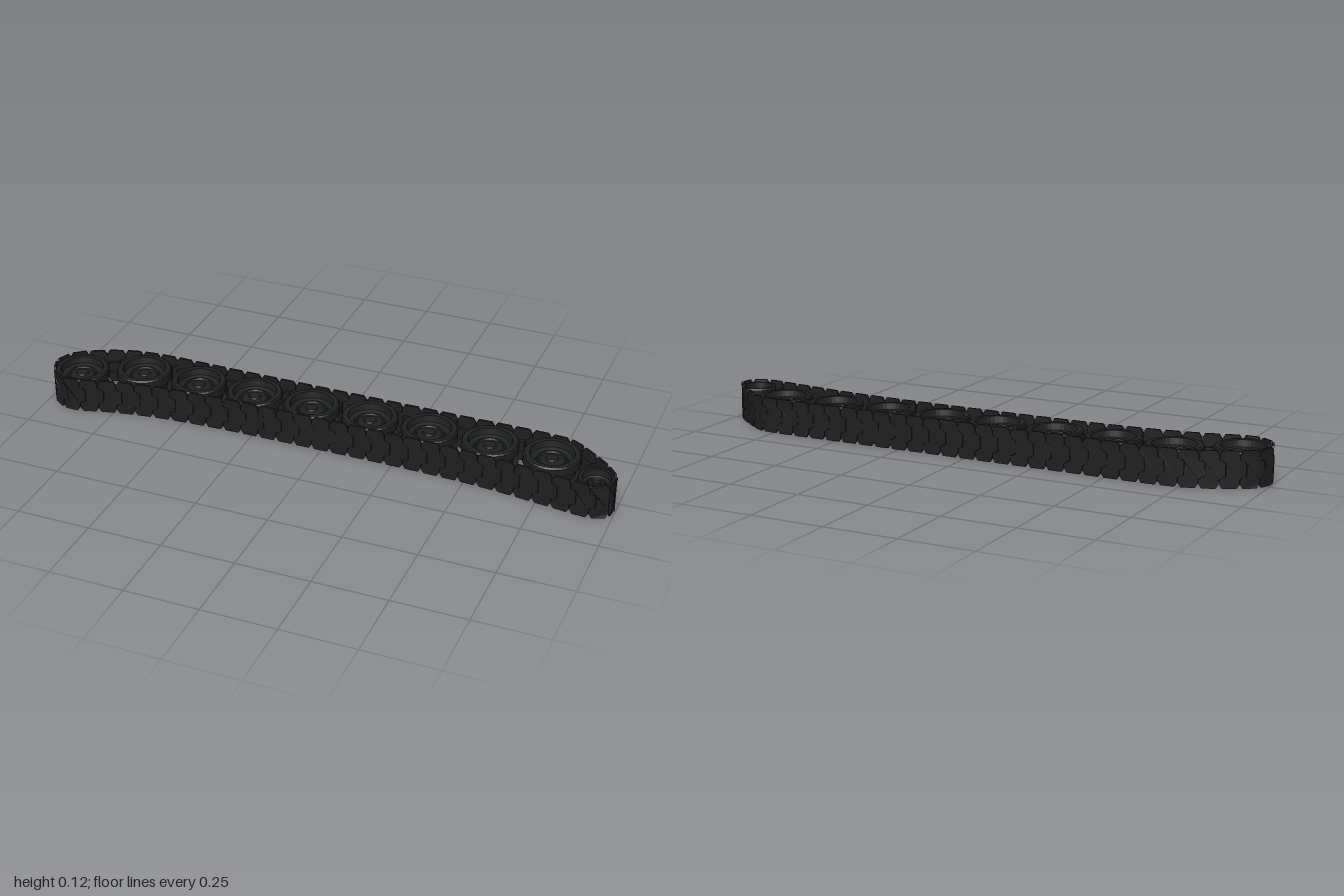
import * as THREE from 'three';

const HEIGHT = 0.122;
const MID = HEIGHT / 2;
const LINKS = 66;

// Outline of the belt seen from above, as [x, z]
const PATH = [
  [-0.998, 0.035], [-0.968, 0.105], [-0.9, 0.136], [-0.83, 0.122], [-0.74, 0.099], [-0.6, 0.077],
  [-0.4, 0.063], [0, 0.059], [0.4, 0.063], [0.6, 0.075], [0.8, 0.099], [0.93, 0.112],
  [0.98, 0.094], [0.999, 0.046], [0.968, -0.008], [0.88, -0.083], [0.81, -0.129], [0.74, -0.138],
  [0.4, -0.138], [0, -0.138], [-0.4, -0.138], [-0.68, -0.138], [-0.79, -0.122], [-0.91, -0.073],
  [-0.975, -0.028],
];

// Wraps a flat piece (x along the belt, z outward) around the belt path
function wrap(geometry, curve, length, start) {
  const geo = geometry.index ? geometry.toNonIndexed() : geometry;
  const pos = geo.attributes.position;
  for (let i = 0; i < pos.count; i++) {
    const u = (((start + pos.getX(i)) / length) % 1 + 1) % 1;
    const p = curve.getPointAt(u);
    const t = curve.getTangentAt(u);
    const out = pos.getZ(i);
    pos.setXYZ(i, p.x - t.z * out, pos.getY(i), p.z + t.x * out);
  }
  geo.computeVertexNormals();
  return geo;
}

// Link plate with a tongue at its leading end and a matching notch behind
function linkShape(pitch) {
  const end = pitch - 0.0015;
  const tongue = 0.02;
  const edge = [
    [0, 0.028], [0, 0.03], [tongue, 0.04], [tongue, HEIGHT - 0.04], [0, HEIGHT - 0.03], [0, HEIGHT - 0.014],
  ];
  edge[0] = [0, 0.014];
  const points = [[0.009, 0], [end - 0.009, 0]];
  edge.forEach(([s, y]) => points.push([end + s, y]));
  points.push([end - 0.009, HEIGHT], [0.009, HEIGHT]);
  [...edge].reverse().forEach(([s, y]) => points.push([s, y]));
  return new THREE.Shape(points.map(([x, y]) => new THREE.Vector2(x, y)));
}

// Dished twin wheel with a central groove and stepped rings on both faces
function wheelGeometry(r) {
  const half = [
    [0, 0.036], [0.2, 0.036], [0.23, 0.03], [0.44, 0.026], [0.47, 0.031], [0.53, 0.031],
    [0.56, 0.024], [0.74, 0.03], [0.78, 0.052], [0.95, 0.052], [1, 0.047], [1, 0.02], [0.83, 0.016],
  ];
  const top = half.map(([k, y]) => [k * r, y]);
  const bottom = [...top].reverse().map(([x, y]) => [x, -y]);
  // Lathe runs upward so the faces point outward
  const profile = [...top, ...bottom].reverse().map(([x, y]) => new THREE.Vector2(x, y));
  const geo = new THREE.LatheGeometry(profile, 32).toNonIndexed();
  geo.computeVertexNormals();
  return geo;
}

export function createModel() {
  const group = new THREE.Group();
  const steel = new THREE.MeshStandardMaterial({ color: 0x1f1f1f });
  steel.name = 'trackBlack';
  const wheelMat = new THREE.MeshStandardMaterial({ color: 0x1f2121 });
  wheelMat.name = 'wheelBlack';

  const add = (name, geo, mat, parent) => {
    const mesh = new THREE.Mesh(geo, mat);
    mesh.name = name;
    parent.add(mesh);
    return mesh;
  };

  const curve = new THREE.CatmullRomCurve3(
    PATH.map(([x, z]) => new THREE.Vector3(x, 0, z)), true, 'centripetal');
  curve.arcLengthDivisions = 1500;
  const length = curve.getLength();
  const pitch = length / LINKS;

  // Belt of interlocking links, each with a guide pad inside
  const track = new THREE.Group();
  track.name = 'track';
  group.add(track);
  const shape = linkShape(pitch);
  for (let i = 0; i < LINKS; i++) {
    const plate = new THREE.ExtrudeGeometry(shape, { depth: 0.007, bevelEnabled: false });
    plate.translate(0, 0, -0.007);
    add('trackLink', wrap(plate, curve, length, i * pitch), steel, track);

    const pad = new THREE.BoxGeometry(0.04, 0.036, 0.013, 2, 1, 1);
    pad.translate(pitch * 0.5 + 0.008, MID, -0.0125);
    add('guidePad', wrap(pad, curve, length, i * pitch), steel, track);
  }

  // Eight road wheels
  const roadGeo = wheelGeometry(0.095);
  for (let i = 0; i < 8; i++) {
    add('roadWheel', roadGeo, wheelMat, group).position.set(-0.698 + i * 0.2086, MID, -0.04);
  }

  // Larger end wheel and small end wheel
  add('driveWheel', wheelGeometry(0.094), wheelMat, group).position.set(-0.899, MID, 0.036);
  add('idlerWheel', wheelGeometry(0.061), wheelMat, group).position.set(0.932, MID, 0.046);

  return group;
}
